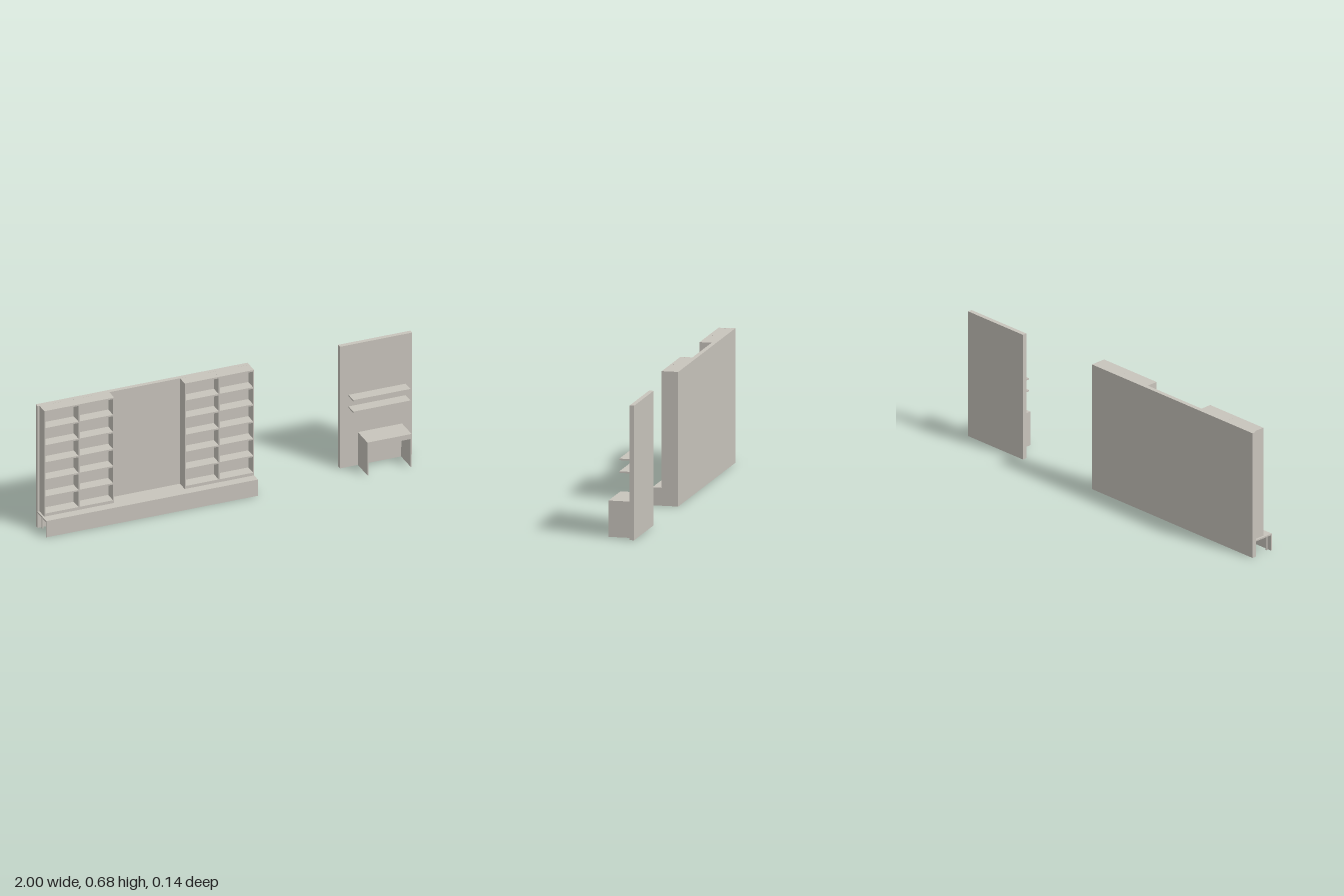
import * as THREE from 'three';

const BACK = -0.072, FACE = -0.049, SHELF_Z = 0.012, TOP = 0.675;

export function createModel() {
  const model = new THREE.Group();
  model.name = 'wallFurniture';
  const paint = new THREE.MeshStandardMaterial({ color: 0xc8c4bc });
  paint.name = 'warm grey';

  // Box given by its limits on each axis
  function board(parent, name, x0, x1, y0, y1, z0, z1) {
    const mesh = new THREE.Mesh(new THREE.BoxGeometry(x1 - x0, y1 - y0, z1 - z0), paint);
    mesh.position.set((x0 + x1) / 2, (y0 + y1) / 2, (z0 + z1) / 2);
    mesh.name = name;
    parent.add(mesh);
  }
  function group(name) {
    const g = new THREE.Group();
    g.name = name;
    model.add(g);
    return g;
  }

  // Long wall unit: back panel and hollow plinth, open below and at one end
  const wall = group('wallUnit');
  board(wall, 'backPanel', -1, 0.13, 0, TOP, BACK, FACE);
  board(wall, 'plinthTop', -1, 0.125, 0.082, 0.09, FACE, 0.06);
  board(wall, 'plinthFront', -1, 0.125, 0, 0.082, 0.053, 0.06);

  // L-shaped end panel running from the plinth to the top
  const profile = new THREE.Shape();
  profile.moveTo(-FACE, 0);
  profile.lineTo(-0.06, 0);
  profile.lineTo(-0.06, 0.09);
  profile.lineTo(-SHELF_Z, 0.09);
  profile.lineTo(-SHELF_Z, TOP);
  profile.lineTo(-FACE, TOP);
  const endGeometry = new THREE.ExtrudeGeometry(profile, { depth: 0.005, bevelEnabled: false });
  const end = new THREE.Mesh(endGeometry.rotateY(Math.PI / 2), paint);
  end.position.x = 0.125;
  end.name = 'endPanel';
  wall.add(end);

  // Small feet inside the plinth
  const footGeometry = new THREE.CylinderGeometry(0.005, 0.005, 0.082, 8);
  for (let i = 0; i < 7; i++) {
    for (const z of [FACE + 0.012, 0.044]) {
      const foot = new THREE.Mesh(footGeometry, paint);
      foot.position.set(-0.98 + i * 0.18, 0.041, z);
      foot.name = 'plinthFoot';
      wall.add(foot);
    }
  }

  // Two bookcases, each with two columns of six compartments
  function bookcase(name, x0, x1, closedEnd) {
    const g = group(name), mid = (x0 + x1) / 2, t = 0.006;
    board(g, 'side', x0, x0 + t, 0.09, TOP, FACE, SHELF_Z);
    if (closedEnd) board(g, 'side', x1 - t, x1, 0.09, TOP, FACE, SHELF_Z);
    board(g, 'divider', mid - 0.004, mid + 0.004, 0.09, TOP, FACE, SHELF_Z);
    for (const [a, b] of [[x0 + t, mid - 0.004], [mid + 0.004, x1 - (closedEnd ? t : 0.005)]]) {
      board(g, 'bottom', a, b, 0.09, 0.106, FACE, SHELF_Z);
      for (let i = 1; i <= 6; i++) {
        const y = 0.106 + i * 0.0948;
        board(g, 'shelf', a, b, y - 0.008, Math.min(y, TOP), FACE, SHELF_Z);
      }
    }
  }
  bookcase('leftBookcase', -0.99, -0.617, true);
  bookcase('rightBookcase', -0.24, 0.13, false);

  // Separate wall panel with two floating shelves
  const desk = group('deskUnit');
  board(desk, 'deskBackPanel', 0.615, 1, 0, TOP, BACK, FACE);
  board(desk, 'upperShelf', 0.66, 0.965, 0.391, 0.399, FACE, SHELF_Z);
  board(desk, 'lowerShelf', 0.66, 0.965, 0.327, 0.335, FACE, SHELF_Z);

  // Desk: thin sides, top, drawer and modesty board
  const d0 = 0.71, d1 = 0.946, t = 0.005, front = 0.072;
  board(desk, 'deskTop', d0, d1, 0.177, 0.182, FACE, front);
  for (const x of [d0, d1 - t]) board(desk, 'deskSide', x, x + t, 0, 0.177, FACE, front);
  board(desk, 'drawer', d0 + t, d1 - t, 0.155, 0.177, FACE, front);
  board(desk, 'modestyBoard', d0 + t, d1 - t, 0.055, 0.155, FACE, FACE + 0.006);

  return model;
}
